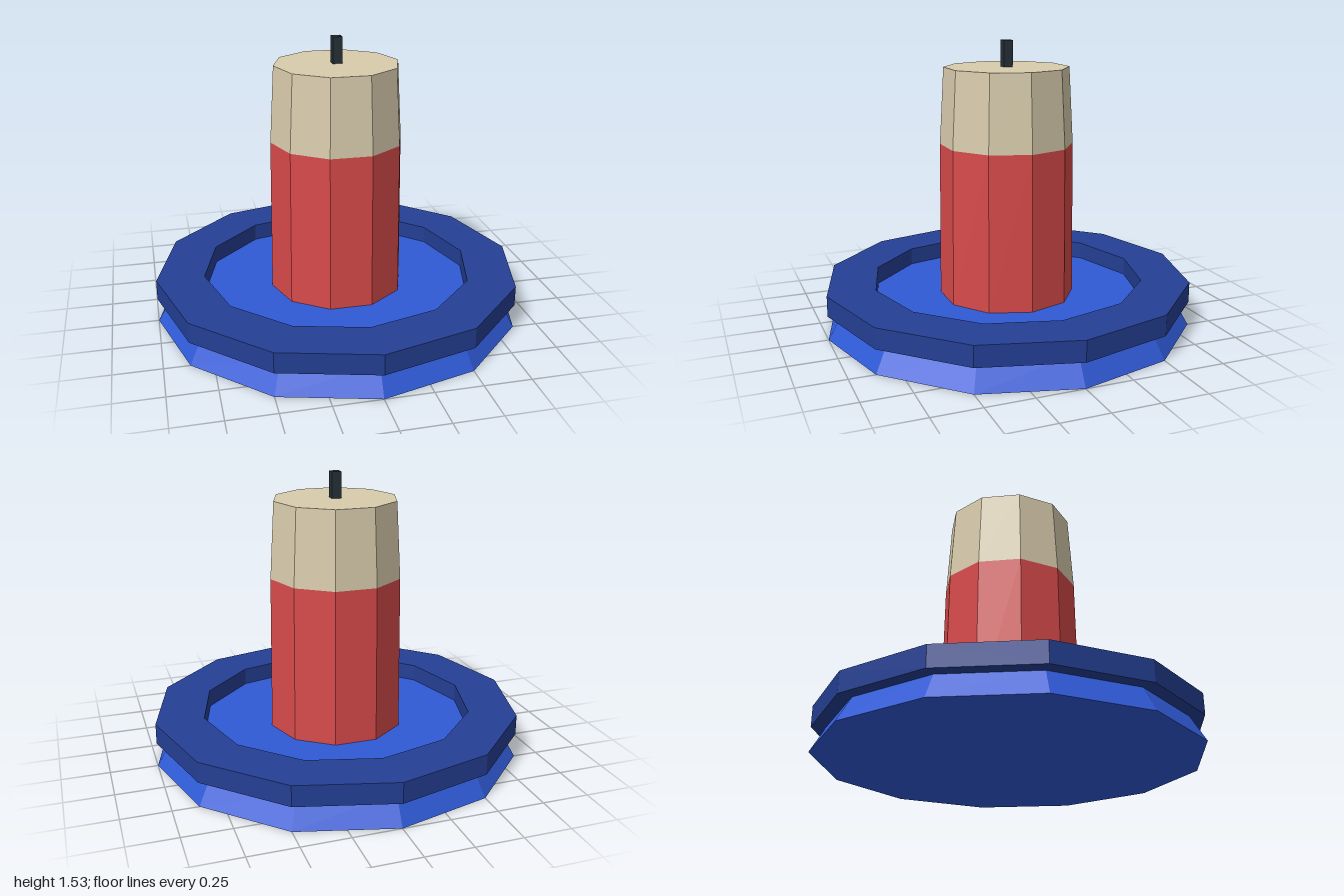
import * as THREE from 'three';

const paint = (name, color) => {
  const m = new THREE.MeshStandardMaterial({ color });
  m.name = name;
  m.flatShading = true;
  return m;
};

export function createModel() {
  const blue = paint('blue', 0x2f5ad6);
  const navy = paint('navy', 0x243f94);
  const red = paint('red', 0xd84a4a);
  const cream = paint('cream', 0xd9ccad);
  const charcoal = paint('charcoal', 0x263038);

  const model = new THREE.Group();
  model.name = 'buoy';

  const add = (name, geometry, material, y = 0) => {
    const mesh = new THREE.Mesh(geometry, material);
    mesh.name = name;
    mesh.position.y = y;
    model.add(mesh);
    return mesh;
  };

  // Faceted tapered drum standing between two heights
  const drum = (name, rBottom, rTop, y0, y1, sides, material) =>
    add(name, new THREE.CylinderGeometry(rTop, rBottom, y1 - y0, sides), material, (y0 + y1) / 2);

  // Twelve-sided base plate, its top forming the floor inside the rim
  drum('base', 1, 0.917, 0, 0.145, 12, blue);

  // Flat rim ring with a rectangular section
  const section = [[0.74, 0.13], [1, 0.13], [1, 0.24], [0.74, 0.24], [0.74, 0.13]];
  add('rim', new THREE.LatheGeometry(section.map(([r, y]) => new THREE.Vector2(r, y)), 12), navy);

  // Ten-sided tower in two colours, corners on the x axis
  drum('lowerTower', 0.367, 0.358, 0.14, 0.98, 10, red).rotation.y = Math.PI / 2;
  drum('upperTower', 0.358, 0.334, 0.98, 1.39, 10, cream).rotation.y = Math.PI / 2;

  // Short square post on top
  add('post', new THREE.BoxGeometry(0.05, 0.15, 0.05), charcoal, 1.455);

  return model;
}
